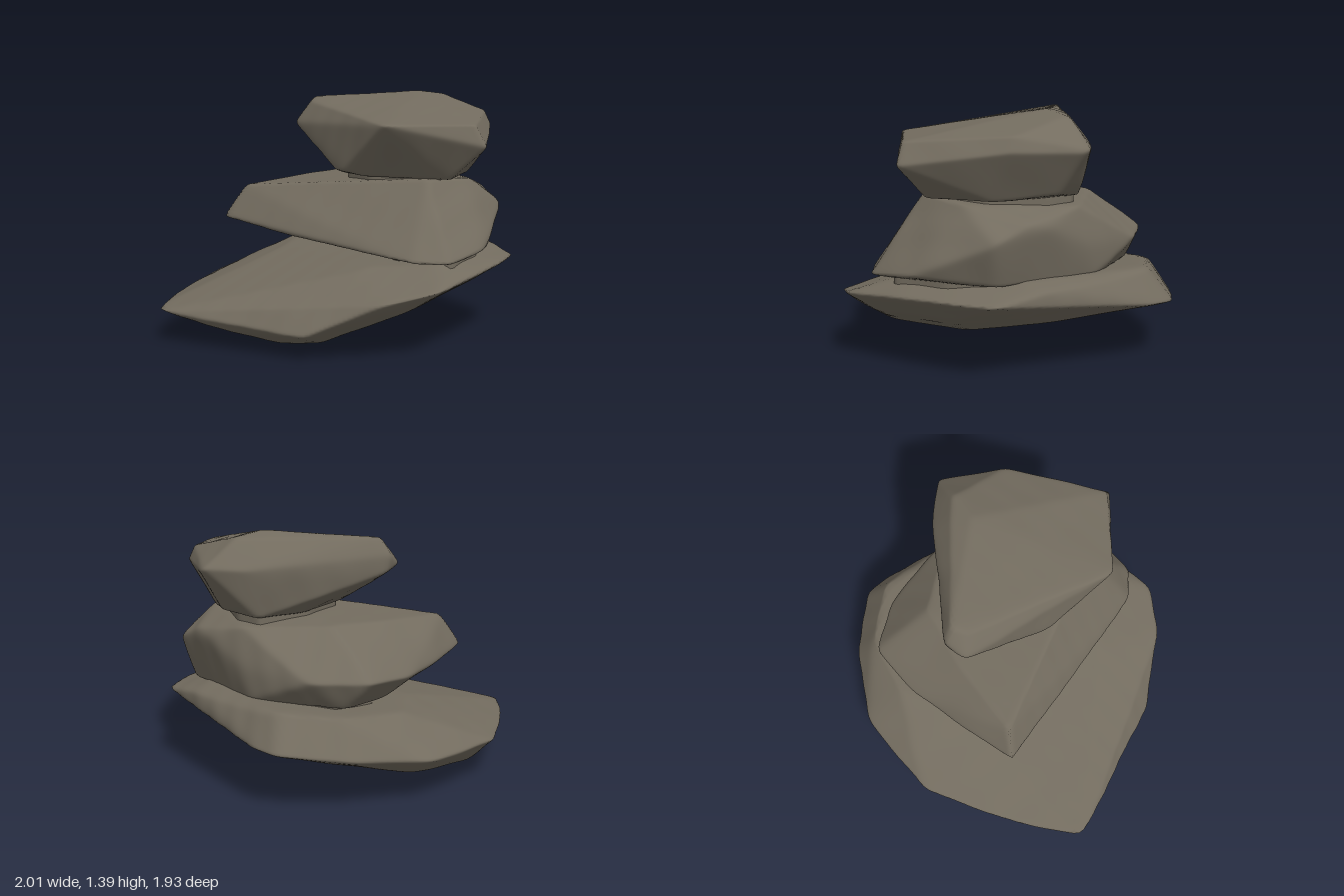
import * as THREE from 'three';
import { ConvexGeometry } from 'three/addons/geometries/ConvexGeometry.js';
import { mergeVertices } from 'three/addons/utils/BufferGeometryUtils.js';

const stone = new THREE.MeshStandardMaterial({ color: 0x736c5f });
stone.name = 'grey brown stone';

// Distinct outward planes of the hull around the corners, relative to the centre
function hullPlanes(points) {
  const pos = new ConvexGeometry(points).toNonIndexed().attributes.position;
  const planes = [];
  const [a, b, c] = [0, 1, 2].map(() => new THREE.Vector3());
  for (let i = 0; i < pos.count; i += 3) {
    [a, b, c].forEach((v, k) => v.fromBufferAttribute(pos, i + k));
    const p = new THREE.Plane().setFromCoplanarPoints(a, b, c);
    if (p.normal.lengthSq() < 0.5) continue;
    const d = p.normal.dot(a);
    if (d < 0.01) continue;
    if (!planes.some(q => q.n.dot(p.normal) > 0.998)) planes.push({ n: p.normal.clone(), d });
  }
  return planes;
}

// A worn boulder: a dense sphere pressed onto the hull with softened edges and slight dents
function boulder(name, corners, detail, seed) {
  const sharpness = 90;
  const points = corners.map(c => new THREE.Vector3(...c));
  const box = new THREE.Box3().setFromPoints(points);
  const centre = box.getCenter(new THREE.Vector3());
  const size = box.getSize(new THREE.Vector3());
  points.forEach(p => p.sub(centre));
  const planes = hullPlanes(points);

  let geo = new THREE.IcosahedronGeometry(1, detail);
  geo.deleteAttribute('normal');
  geo.deleteAttribute('uv');
  geo = mergeVertices(geo, 1e-4);
  const pos = geo.attributes.position;
  const v = new THREE.Vector3();
  for (let i = 0; i < pos.count; i++) {
    v.fromBufferAttribute(pos, i).multiply(size).normalize();
    let sum = 0;
    for (const { n, d } of planes) sum += Math.pow(Math.max(0, n.dot(v) / d), sharpness);
    v.multiplyScalar(Math.pow(sum, -1 / sharpness));
    const dent = Math.sin(v.x * 9 + seed) * Math.sin(v.z * 8 + seed * 2) * Math.cos(v.y * 7 + seed)
      + 0.5 * Math.sin(v.x * 19 + v.z * 13 + seed) * Math.sin(v.z * 21 - v.y * 11);
    v.multiplyScalar(1.005 + 0.008 * dent);
    pos.setXYZ(i, v.x, v.y, v.z);
  }
  geo.computeVertexNormals();
  const mesh = new THREE.Mesh(geo, stone);
  mesh.name = name;
  mesh.position.copy(centre);
  return mesh;
}

// A narrow seat between two rocks: an x-z outline spanning two heights
function seat(name, outline, low, high, seed) {
  const corners = outline.flatMap(([x, z]) => [[x, low, z], [x, high, z]]);
  return boulder(name, corners, 16, seed);
}

export function createModel() {
  const group = new THREE.Group();
  group.name = 'stackedRocks';

  // Broad tilted slab
  group.add(boulder('baseSlab', [
    // rim
    [-1.03, 0.18, -0.1], [-0.75, 0.2, -0.48], [-0.35, 0.22, -0.85], [0.2, 0.24, -0.975],
    [0.62, 0.28, -0.85], [0.94, 0.32, -0.64], [0.99, 0.33, -0.46], [0.99, 0.4, 0],
    [0.98, 0.43, 0.5], [0.76, 0.43, 0.69], [0.5, 0.42, 0.82],
    [0.16, 0.38, 0.98], [-0.12, 0.33, 0.89], [-0.48, 0.13, 0.64],
    // underside
    [-0.43, 0, 0.25], [0, 0.02, 0.2], [-0.3, 0.07, -0.7], [-0.72, 0.09, 0.2],
    [-0.3, 0.05, 0.5], [0.1, 0.26, 0.8], [0.2, 0.12, -0.78], [0.55, 0.17, 0],
    [0.5, 0.25, 0.5], [0.55, 0.18, -0.4],
    // upper face
    [-0.08, 0.43, -0.4], [-0.08, 0.43, 0.5], [0.85, 0.52, 0.2], [0.3, 0.475, 0.75],
    [0.6, 0.485, -0.72], [0.87, 0.5, -0.5], [0.2, 0.45, -0.72], [0.98, 0.48, 0.2],
  ], 36, 1));

  group.add(seat('lowerSeat', [
    [0.16, -0.35], [0.18, 0.5], [0.36, 0.78], [0.64, 0.6], [0.82, 0.35],
    [0.79, -0.18], [0.53, -0.56], [0.25, -0.52],
  ], 0.38, 0.58, 2));

  // Wedge shaped middle rock
  group.add(boulder('middleRock', [
    // lower rim
    [-0.53, 0.65, -0.33], [-0.1, 0.61, -0.56], [0.1, 0.62, -0.67], [0.43, 0.65, -0.755],
    [0.69, 0.64, -0.55], [0.85, 0.68, -0.15], [0.91, 0.8, 0.15], [0.91, 0.74, 0.45],
    [0.56, 0.54, 0.79], [0.28, 0.5, 0.88], [0.1, 0.51, 0.78], [-0.06, 0.55, 0.5],
    [-0.33, 0.59, 0],
    // upper face
    [-0.41, 0.84, -0.29], [0.05, 0.87, -0.38], [0.43, 0.89, -0.4], [0.83, 0.87, -0.05],
    [0.9, 0.83, 0.25], [0.65, 0.91, 0.5], [0.32, 0.93, 0.59], [0.08, 0.885, 0.28],
    // underside
    [0.15, 0.51, 0.6], [0.84, 0.5, 0.42], [0.83, 0.5, -0.2], [0.5, 0.49, -0.61],
    [0.22, 0.5, -0.58], [0.1, 0.53, -0.4], [-0.15, 0.55, 0.1],
  ], 36, 3.3));

  group.add(seat('upperSeat', [
    [0.1, 0.05], [0.12, 0.28], [0.4, 0.58], [0.66, 0.38], [0.76, 0.05], [0.72, -0.12], [0.4, -0.12],
  ], 0.84, 0.97, 4));

  // Block leaning over the front at the top
  group.add(boulder('topRock', [
    // upper face
    [0.04, 1.24, 0.58], [0.5, 1.24, 0.78], [0.87, 1.28, 0.32], [0.62, 1.385, 0],
    [0.81, 1.355, -0.04], [0.1, 1.345, -0.38], [0.04, 1.32, -0.3],
    // waist
    [-0.04, 1.19, -0.37], [0.07, 1.25, -0.44], [0.1, 1.15, -0.43], [1.01, 1.21, -0.04],
    [0.95, 1.2, 0.12], [0.89, 1.2, 0.36], [0.82, 1.2, -0.17], [0.54, 1.12, 0.83],
    // underside
    [0, 0.95, 0.18], [0, 0.95, 0.08], [0.06, 0.925, 0.04], [0.45, 0.925, -0.14],
    [0.74, 0.925, -0.14], [0.85, 0.96, 0.05], [0.72, 0.925, 0.38], [0.44, 0.93, 0.63],
    [0.1, 0.925, 0.3],
  ], 36, 5.7));

  return group;
}
